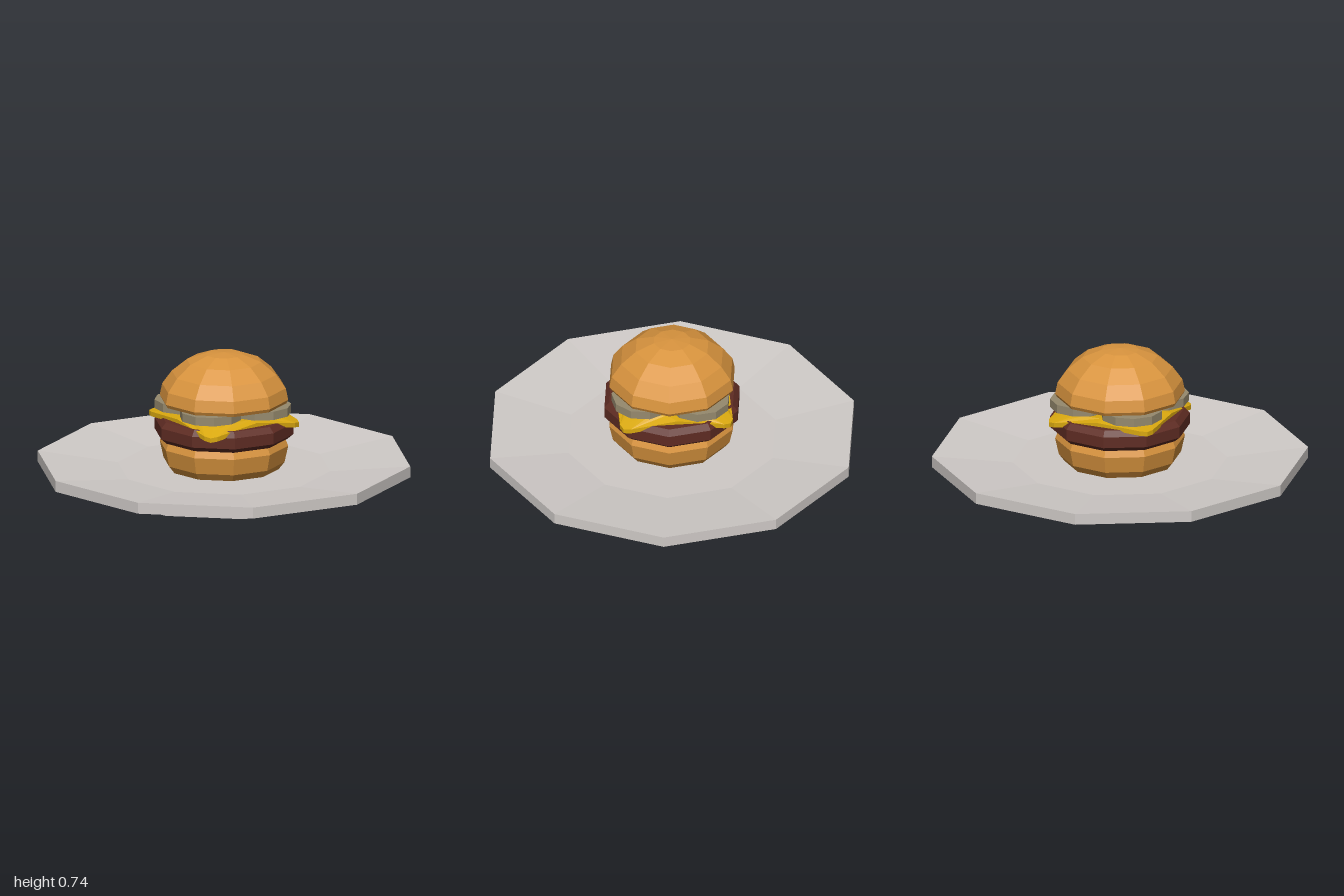
import * as THREE from 'three';

const paint = (name, color) => {
  const m = new THREE.MeshStandardMaterial({ color });
  m.name = name;
  return m;
};

// Faceted mesh: every face gets its own flat normal
function faceted(name, geometry, material) {
  const g = geometry.index ? geometry.toNonIndexed() : geometry;
  g.computeVertexNormals();
  const mesh = new THREE.Mesh(g, material);
  mesh.name = name;
  return mesh;
}

// Ten-sided turned part with corners on the x axis; profile runs bottom to top
function turned(name, profile, material) {
  const points = profile.map(([r, y]) => new THREE.Vector2(r, y));
  return faceted(name, new THREE.LatheGeometry(points, 10, Math.PI / 2), material);
}

// Square slice with rounded corners that droop over the patty
function cheeseSlice(material) {
  const half = 0.3, round = 0.05, angle = 0.14;
  const g = new THREE.BoxGeometry(2 * half, 0.025, 2 * half, 12, 1, 12);
  const p = g.attributes.position;
  for (let i = 0; i < p.count; i++) {
    let x = p.getX(i), z = p.getZ(i);
    // pull the corners in to a small radius
    const cx = Math.max(Math.abs(x) - (half - round), 0);
    const cz = Math.max(Math.abs(z) - (half - round), 0);
    const d = Math.hypot(cx, cz);
    if (d > round) {
      x = Math.sign(x) * (half - round + cx * round / d);
      z = Math.sign(z) * (half - round + cz * round / d);
    }
    // the rear right corner droops least
    const depth = x < 0 && z < 0 ? 0.02 : 0.045;
    const t = Math.max(0, (Math.hypot(x, z) - 0.28) / 0.11);
    p.setXYZ(i, x, p.getY(i) - depth * t, z);
  }
  g.rotateY(angle);
  g.translate(0, 0.407, 0);
  return faceted('cheeseSlice', g, material);
}

export function createModel() {
  const ceramic = paint('plate grey', 0xcfcac7);
  const bread = paint('bun orange', 0xd9943e);
  const meat = paint('patty brown', 0x5f2c23);
  const cheese = paint('cheese yellow', 0xd9a80f);
  const pickle = paint('pickle tan', 0x968a6e);

  const burger = new THREE.Group();
  burger.name = 'burgerOnPlate';

  burger.add(
    turned('plateFoot', [[0, 0], [0.68, 0], [0.68, 0.06], [0, 0.06]], ceramic),
    turned('plate', [[0, 0.05], [0.57, 0.05], [1, 0.09], [1, 0.15], [0.57, 0.105], [0, 0.105]], ceramic),
    turned('bottomBun', [[0, 0.1], [0.29, 0.1], [0.325, 0.145], [0.345, 0.235], [0.33, 0.272], [0, 0.278]], bread),
    turned('patty', [[0, 0.273], [0.34, 0.273], [0.372, 0.3], [0.372, 0.36], [0.345, 0.39], [0, 0.394]], meat),
    cheeseSlice(cheese),
    turned('topBun', [[0, 0.468], [0.335, 0.468], [0.345, 0.487], [0.332, 0.55], [0.28, 0.622],
      [0.2, 0.688], [0.1, 0.726], [0, 0.735]], bread),
  );

  // Four overlapping slices on the cheese
  [[-0.16, -0.14], [0.15, -0.15], [0.14, 0.15], [-0.15, 0.14]].forEach(([x, z], i) => {
    const slice = faceted('pickleSlice' + (i + 1), new THREE.CylinderGeometry(0.165, 0.165, 0.046, 10), pickle);
    slice.position.set(x, 0.444 + (i % 2) * 0.002, z);
    slice.rotation.y = 0.3 * i;
    burger.add(slice);
  });

  return burger;
}
